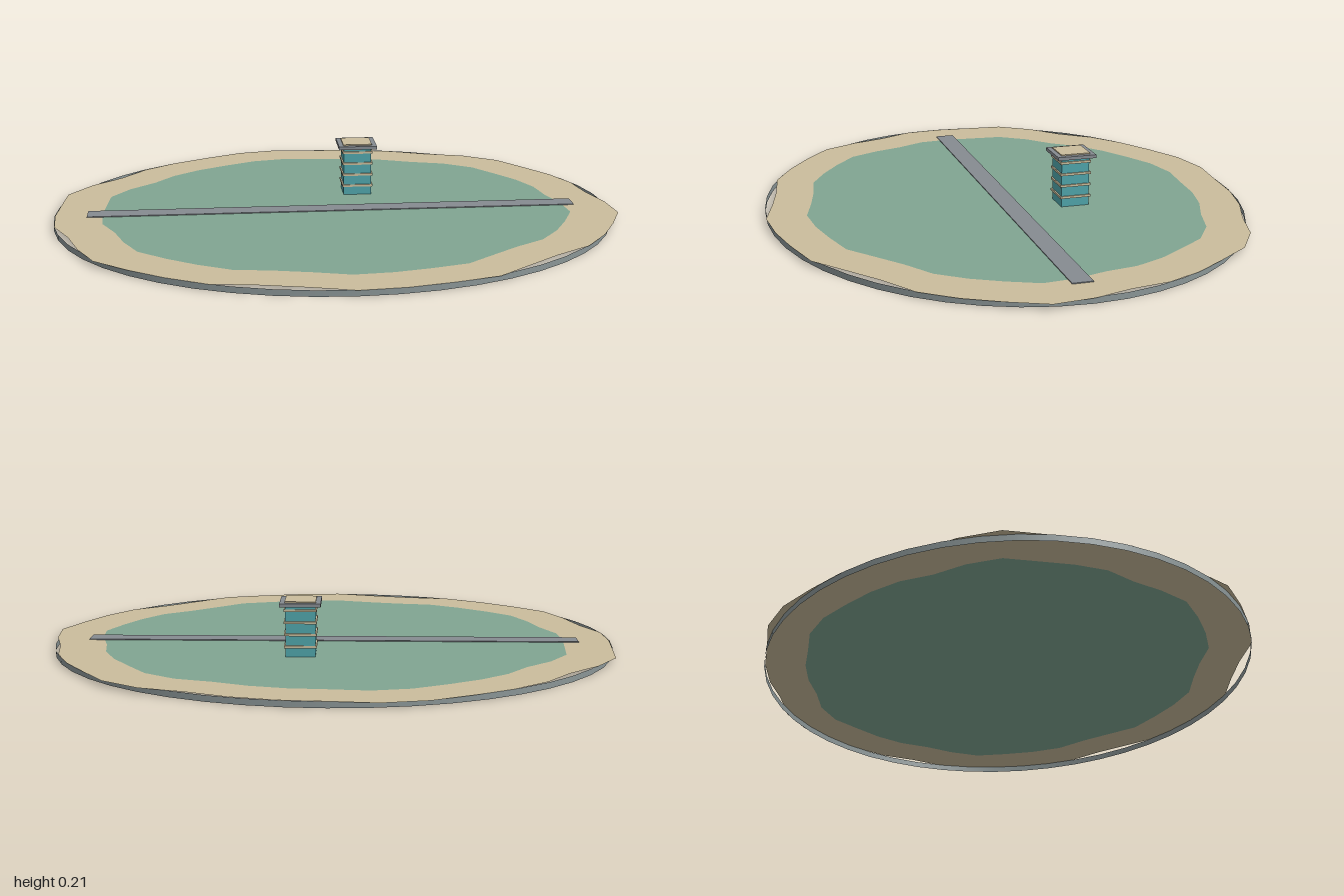
import * as THREE from 'three';

const material = (name, color, side = THREE.FrontSide) => {
  const m = new THREE.MeshStandardMaterial({ color, side });
  m.name = name;
  return m;
};

// Shore radius every 9 degrees, clockwise from the back, relative to an ellipse
const RADII = [
  0.998, 0.998, 0.995, 0.989, 1.025, 1.033, 1.007, 1.003, 0.998, 0.982,
  1.008, 1.033, 1.014, 1.009, 1.005, 0.973, 0.98, 1.013, 1.001, 1.003,
  1.006, 0.97, 0.967, 1.002, 1.001, 1.006, 1.02, 0.995, 0.976, 1.0,
  0.998, 1.0, 1.027, 1.006, 0.974, 0.994, 1.001, 1.007, 1.028, 1.028,
];
const RX = 0.99, RZ = 0.84, CX = -0.01, GROUND = 0.021;

const outline = (scale) => RADII.map((r, i) => {
  const a = (i / RADII.length) * Math.PI * 2;
  return new THREE.Vector2(Math.sin(a) * RX * r * scale, Math.cos(a) * RZ * r * scale);
});

export function createModel() {
  const sand = material('sand', 0xcabd9c);
  const sandSheet = material('beach sand', 0xcabd9c, THREE.DoubleSide);
  const grass = material('grass green', 0x80a592, THREE.DoubleSide);
  const rimGrey = material('rim grey', 0x8a9596, THREE.DoubleSide);
  const roadGrey = material('road grey', 0x868b91);
  const glass = material('teal glass', 0x4fa5ab);

  const model = new THREE.Group();
  model.name = 'island';
  const add = (parent, name, geometry, mat, x, y, z) => {
    const mesh = new THREE.Mesh(geometry, mat);
    mesh.name = name;
    mesh.position.set(x, y, z);
    parent.add(mesh);
    return mesh;
  };

  // Flat land: a beach ring around a green interior of the same outline
  const beach = new THREE.Shape(outline(1));
  beach.holes.push(new THREE.Path(outline(0.833)));
  const flat = (shape) => new THREE.ShapeGeometry(shape).rotateX(-Math.PI / 2);
  add(model, 'beach', flat(beach), sandSheet, CX, GROUND, 0);
  add(model, 'grassland', flat(new THREE.Shape(outline(0.833))), grass, CX, GROUND, 0);

  // Open elliptical wall below the land
  const wall = new THREE.CylinderGeometry(1, 1, GROUND, 48, 1, true).scale(RX, 1, RZ);
  add(model, 'rimWall', wall, rimGrey, CX, GROUND / 2, 0);

  // Straight road across the island
  add(model, 'road', new THREE.BoxGeometry(1.75, 0.003, 0.07), roadGrey, CX, GROUND + 0.002, -0.004);

  // Tower with floor bands and a flat overhanging roof
  const tower = new THREE.Group();
  tower.name = 'tower';
  tower.position.set(0.096, 0, -0.226);
  model.add(tower);
  const block = (name, w, y0, y1, mat) =>
    add(tower, name, new THREE.BoxGeometry(w, y1 - y0, w), mat, 0, (y0 + y1) / 2, 0);
  block('towerBody', 0.102, GROUND, 0.198, glass);
  for (let i = 0; i < 4; i++) {
    const y = 0.056 + i * 0.042;
    block('floorBand', 0.112, y - 0.004, y + 0.004, sand);
  }
  block('roofSlab', 0.14, 0.197, 0.209, roadGrey);
  block('roofTop', 0.106, 0.209, 0.213, sand);

  return model;
}
